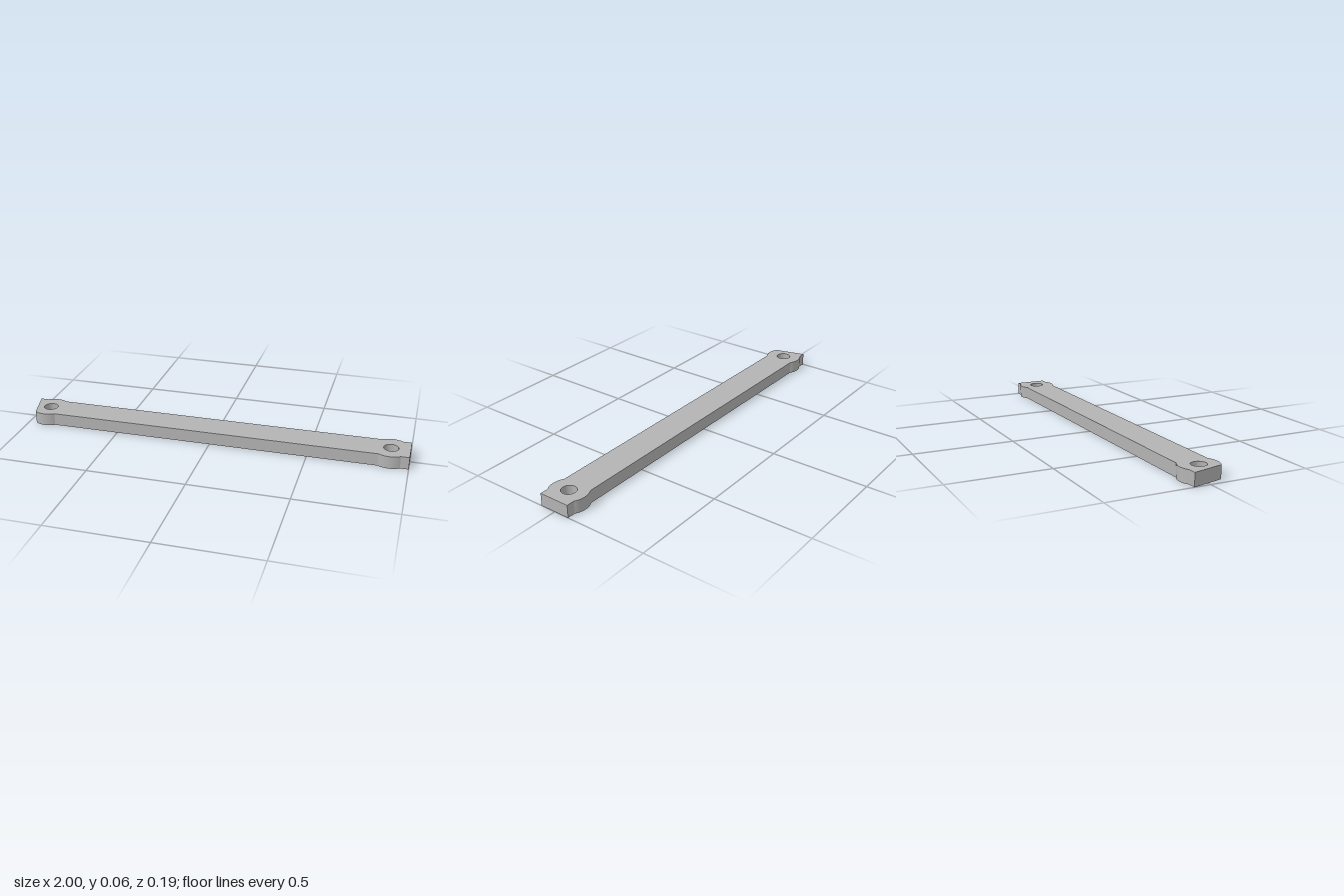
import * as THREE from 'three';
import { toCreasedNormals } from 'three/addons/utils/BufferGeometryUtils.js';

const HALF_LENGTH = 1;
const HALF_WIDTH = 0.08;
const HEIGHT = 0.065;
const BOSS_X = 0.905;
const BOSS_RADIUS = 0.096;
const HOLE_RADIUS = 0.037;

export function createModel() {
  const steel = new THREE.MeshStandardMaterial({ color: 0xb4b4b4 });
  steel.name = 'grey metal';

  // Outline: straight bar whose long edges swell around each hole
  const a = Math.asin(HALF_WIDTH / BOSS_RADIUS);
  const outline = new THREE.Shape();
  outline.moveTo(-HALF_LENGTH, -HALF_WIDTH);
  for (const x of [-BOSS_X, BOSS_X]) {
    outline.absarc(x, 0, BOSS_RADIUS, Math.PI + a, 2 * Math.PI - a, false);
  }
  outline.lineTo(HALF_LENGTH, -HALF_WIDTH);
  outline.lineTo(HALF_LENGTH, HALF_WIDTH);
  for (const x of [BOSS_X, -BOSS_X]) {
    outline.absarc(x, 0, BOSS_RADIUS, a, Math.PI - a, false);
  }
  outline.lineTo(-HALF_LENGTH, HALF_WIDTH);
  outline.closePath();

  // Bolt hole through each end
  for (const x of [-BOSS_X, BOSS_X]) {
    const hole = new THREE.Path();
    hole.absarc(x, 0, HOLE_RADIUS, 0, 2 * Math.PI, true);
    outline.holes.push(hole);
  }

  const extruded = new THREE.ExtrudeGeometry(outline, {
    depth: HEIGHT, bevelEnabled: false, curveSegments: 24,
  });
  extruded.rotateX(-Math.PI / 2);

  const bar = new THREE.Mesh(toCreasedNormals(extruded, 0.45), steel);
  bar.name = 'linkBar';

  const group = new THREE.Group();
  group.name = 'link';
  group.add(bar);
  return group;
}
